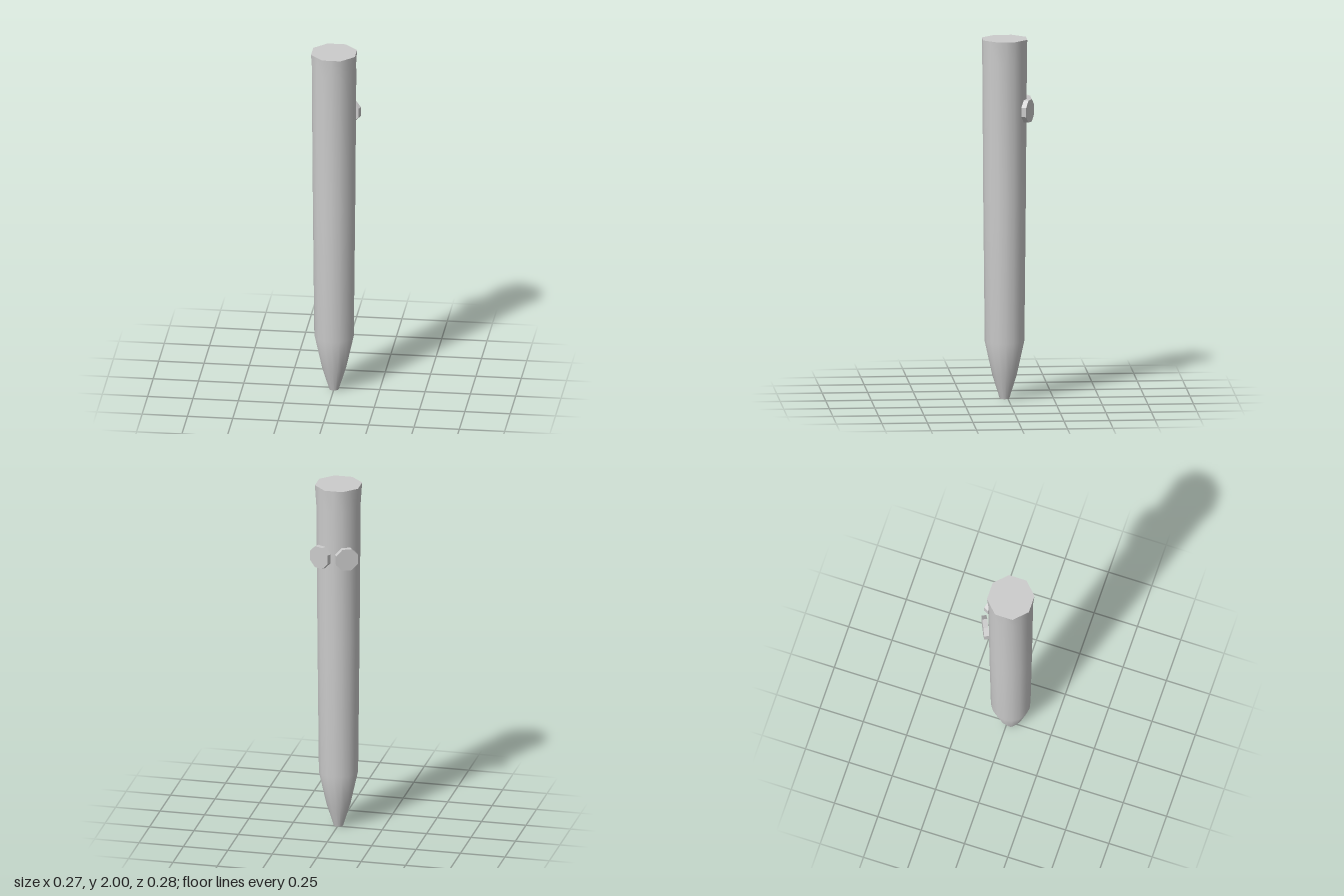
import * as THREE from 'three';
import { mergeVertices } from 'three/addons/utils/BufferGeometryUtils.js';

const SIDES = 16, TOP = 2, CENTRE_Z = 0.018, TOP_RADIUS = 0.131;

export function createModel() {
  const group = new THREE.Group();
  const smooth = new THREE.MeshStandardMaterial({ color: 0xcccccc });
  const flat = new THREE.MeshStandardMaterial({ color: 0xcccccc, flatShading: true });
  const add = (name, geometry, material) => {
    const mesh = new THREE.Mesh(geometry, material);
    mesh.name = name;
    group.add(mesh);
    return mesh;
  };

  // Tapered barrel with a pointed tip, [radius, height] from the bottom up
  const profile = [
    [0.026, 0], [0.067, 0.13], [0.109, 0.32], [0.117, 1.1], [0.123, 1.88], [0.121, TOP],
  ].map(([r, y]) => new THREE.Vector2(r, y));
  let barrel = new THREE.LatheGeometry(profile, SIDES);

  // Rim becomes an octagon: every second vertex is pushed out to a corner;
  // the shoulder just below rises towards the front
  const pos = barrel.attributes.position;
  for (let i = 0; i < pos.count; i++) {
    const row = i % profile.length;
    const column = Math.floor(i / profile.length) % SIDES;
    if (row === profile.length - 1 && column % 2 === 1) {
      const a = (column / SIDES) * Math.PI * 2;
      pos.setXYZ(i, Math.sin(a) * TOP_RADIUS, TOP, Math.cos(a) * TOP_RADIUS);
    }
    if (row === profile.length - 2 && column === 0) pos.setY(i, 1.94);
  }
  barrel.deleteAttribute('normal');
  barrel.deleteAttribute('uv');
  barrel = mergeVertices(barrel);
  barrel.computeVertexNormals();
  add('barrel', barrel, smooth).position.z = CENTRE_Z;

  // Flat end faces
  const topCap = add('topCap', new THREE.CircleGeometry(TOP_RADIUS, 8, Math.PI / 8), flat);
  topCap.rotation.x = -Math.PI / 2;
  topCap.position.set(0, TOP, CENTRE_Z);
  const tipCap = add('tipCap', new THREE.CircleGeometry(0.026, SIDES), flat);
  tipCap.rotation.x = Math.PI / 2;
  tipCap.position.set(0, 0, CENTRE_Z);

  // Pair of octagonal buttons on the back
  const disc = new THREE.CylinderGeometry(0.0665, 0.0665, 0.028, 8, 1, false, Math.PI / 8);
  disc.rotateX(Math.PI / 2);
  for (const side of [1, -1]) {
    const button = add(side > 0 ? 'leftButton' : 'rightButton', disc, flat);
    button.position.set(side * 0.074, 1.61, -0.104);
    button.rotation.y = -side * THREE.MathUtils.degToRad(25.5);
  }
  return group;
}
